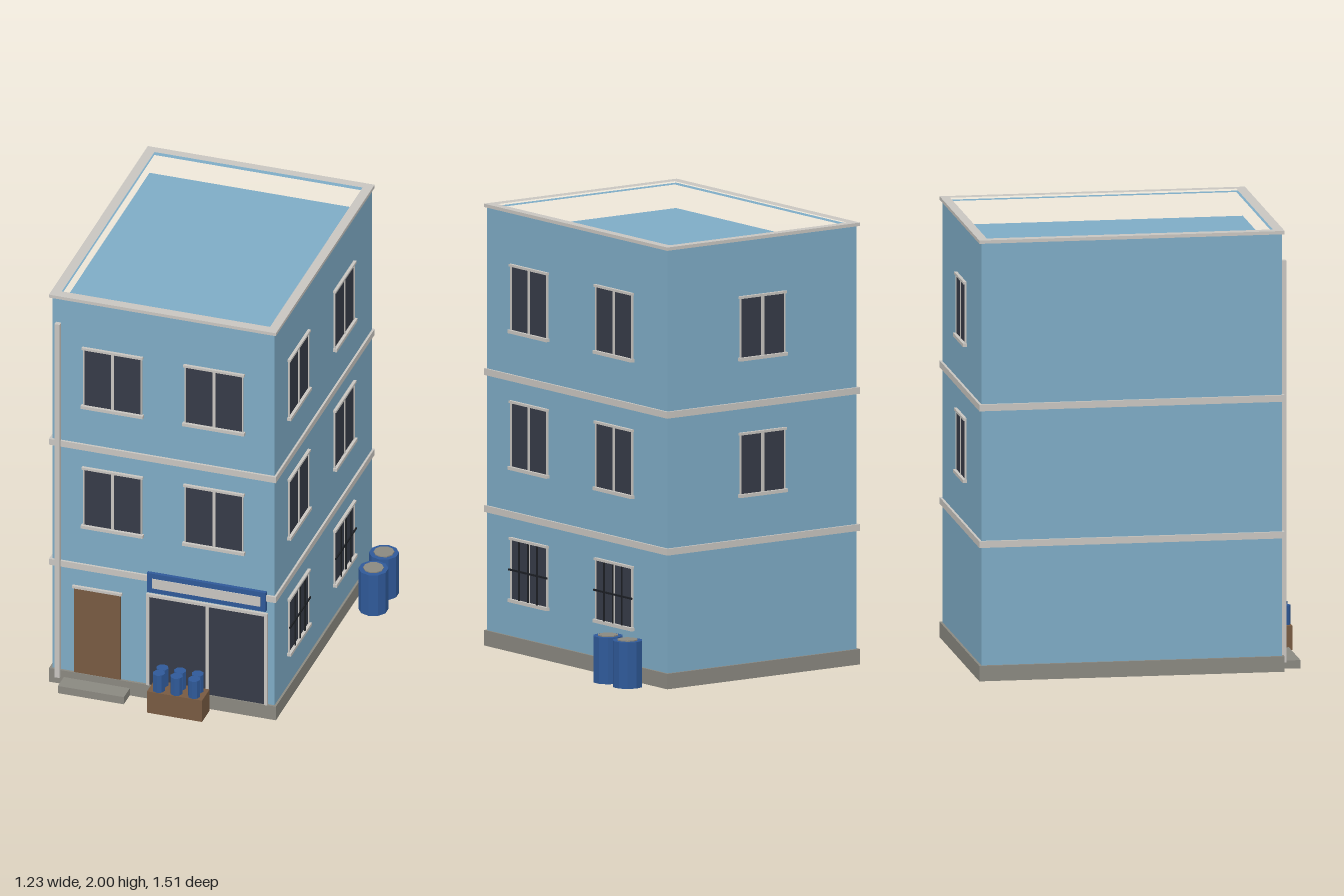
import * as THREE from 'three';

const material = (name, color) => {
  const m = new THREE.MeshStandardMaterial({ color });
  m.name = name;
  return m;
};

export function createModel() {
  const model = new THREE.Group();
  model.name = 'shopBuilding';

  const wall = material('blue wall', 0x7eabc5);
  const trim = material('pale trim', 0xc8c5c0);
  const glass = material('dark glass', 0x363b47);
  const iron = material('black iron', 0x1c1f24);
  const wood = material('brown wood', 0x775a41);
  const stone = material('grey stone', 0x8a8880);
  const blue = material('deep blue', 0x2f5998);

  // Box given by its extents on each axis
  function box(parent, name, mat, x0, x1, y0, y1, z0, z1) {
    const mesh = new THREE.Mesh(new THREE.BoxGeometry(x1 - x0, y1 - y0, z1 - z0), mat);
    mesh.position.set((x0 + x1) / 2, (y0 + y1) / 2, (z0 + z1) / 2);
    mesh.name = name;
    parent.add(mesh);
    return mesh;
  }

  // Faceted upright cylinder
  function drum(parent, name, mat, x, z, r, y0, y1, sides) {
    const geo = new THREE.CylinderGeometry(r, r, y1 - y0, sides).toNonIndexed();
    geo.computeVertexNormals();
    const mesh = new THREE.Mesh(geo, mat);
    mesh.position.set(x, (y0 + y1) / 2, z);
    mesh.name = name;
    parent.add(mesh);
  }

  // Rectangular ring with an open middle
  function ring(name, mat, o, i, y0, y1) {
    const rect = (C, [x0, x1, z0, z1]) => new C([[x0, z0], [x1, z0], [x1, z1], [x0, z1]]
      .map(([x, z]) => new THREE.Vector2(x, -z)));
    const shape = rect(THREE.Shape, o);
    shape.holes.push(rect(THREE.Path, i));
    const mesh = new THREE.Mesh(
      new THREE.ExtrudeGeometry(shape, { depth: y1 - y0, bevelEnabled: false }), mat);
    mesh.rotation.x = -Math.PI / 2;
    mesh.position.y = y0;
    mesh.name = name;
    model.add(mesh);
  }

  // Shell: walls, parapet, cornice, floor bands and plinth
  const X0 = -0.605, X1 = 0.44, Z0 = -0.738, Z1 = 0.62;
  const outer = [-0.617, 0.45, -0.749, 0.631];
  const inner = [-0.572, 0.407, -0.708, 0.585];
  box(model, 'walls', wall, X0, X1, 0.06, 1.87, Z0, Z1);
  ring('parapet', wall, [X0, X1, Z0, Z1], inner, 1.87, 1.985);
  ring('cornice', trim, outer, inner, 1.985, 2);
  for (const y of [0.605, 1.225]) {
    box(model, 'floorBand', trim, outer[0], outer[1], y, y + 0.03, outer[2], outer[3]);
  }
  box(model, 'plinth', stone, outer[0], outer[1], 0, 0.07, outer[2], outer[3]);

  // Window facing local +z, with its sill line at the origin
  function makeWindow(w, h, barred) {
    const g = new THREE.Group();
    g.name = barred ? 'barredWindow' : 'window';
    const a = w / 2;
    box(g, 'pane', glass, -a, a, 0, h, -0.005, 0.004);
    for (const s of [-1, 1]) {
      box(g, 'jamb', trim, s * a - 0.003, s * a + 0.003, 0, h, -0.005, 0.008);
    }
    box(g, 'mullion', trim, -0.007, 0.007, 0, h, -0.005, 0.008);
    box(g, 'lintel', trim, -a - 0.008, a + 0.008, h, h + 0.011, -0.005, 0.014);
    box(g, 'sill', trim, -a - 0.011, a + 0.011, -0.012, 0.003, -0.005, 0.018);
    if (barred) {
      for (const k of [-1, 0, 1]) {
        const x = k * w / 4;
        box(g, 'bar', iron, x - 0.003, x + 0.003, 0, h, 0.009, 0.015);
      }
      box(g, 'crossBar', iron, -a - 0.01, a + 0.01, h / 2 - 0.004, h / 2 + 0.004, 0.009, 0.015);
    }
    return g;
  }

  function placeWindow(w, h, x, y, z, turn, barred = false) {
    const g = makeWindow(w, h, barred);
    g.position.set(x, y, z);
    g.rotation.y = turn;
    model.add(g);
  }

  for (const y of [0.836, 1.454]) {
    for (const x of [-0.32, 0.157]) placeWindow(0.27, 0.29, x, y, Z1, 0);
    for (const z of [0.297, -0.342]) placeWindow(0.27, 0.29, X1, y, z, Math.PI / 2);
    placeWindow(0.242, 0.27, -0.082, y, Z0, Math.PI);
  }
  for (const z of [0.297, -0.342]) placeWindow(0.27, 0.27, X1, 0.237, z, Math.PI / 2, true);

  // House door with lintel and step
  box(model, 'door', wood, -0.5, -0.283, 0.07, 0.505, 0.61, 0.628);
  box(model, 'doorLintel', trim, -0.508, -0.275, 0.505, 0.517, 0.61, 0.634);
  box(model, 'doorStep', stone, -0.547, -0.237, 0, 0.037, 0.62, 0.714);

  // Shop front: frame, glass, mullion and sign board
  box(model, 'shopGlass', glass, -0.146, 0.396, 0.07, 0.527, 0.61, 0.626);
  for (const [a, b] of [[-0.16, -0.146], [0.12, 0.135], [0.396, 0.41]]) {
    box(model, 'shopPost', trim, a, b, 0.07, 0.527, 0.61, 0.634);
  }
  box(model, 'shopHead', trim, -0.16, 0.41, 0.527, 0.541, 0.61, 0.634);
  box(model, 'signBoard', blue, -0.155, 0.404, 0.554, 0.652, 0.61, 0.637);
  box(model, 'signPanel', trim, -0.13, 0.379, 0.578, 0.627, 0.636, 0.64);

  // Rain pipe down the front corner
  box(model, 'rainPipe', trim, -0.587, -0.563, 0.035, 1.86, 0.618, 0.643);

  // Crate of canisters
  box(model, 'crate', wood, -0.116, 0.143, 0, 0.11, 0.645, 0.75);
  for (const x of [-0.07, 0.013, 0.096]) {
    for (const z of [0.671, 0.721]) drum(model, 'canister', blue, x, z, 0.028, 0.1, 0.198, 8);
  }

  // Barrels beside the building
  for (const z of [-0.585, -0.438]) {
    drum(model, 'barrel', blue, 0.549, z, 0.067, 0, 0.21, 10);
    drum(model, 'barrelLid', stone, 0.549, z, 0.046, 0.205, 0.215, 10);
  }
  return model;
}
